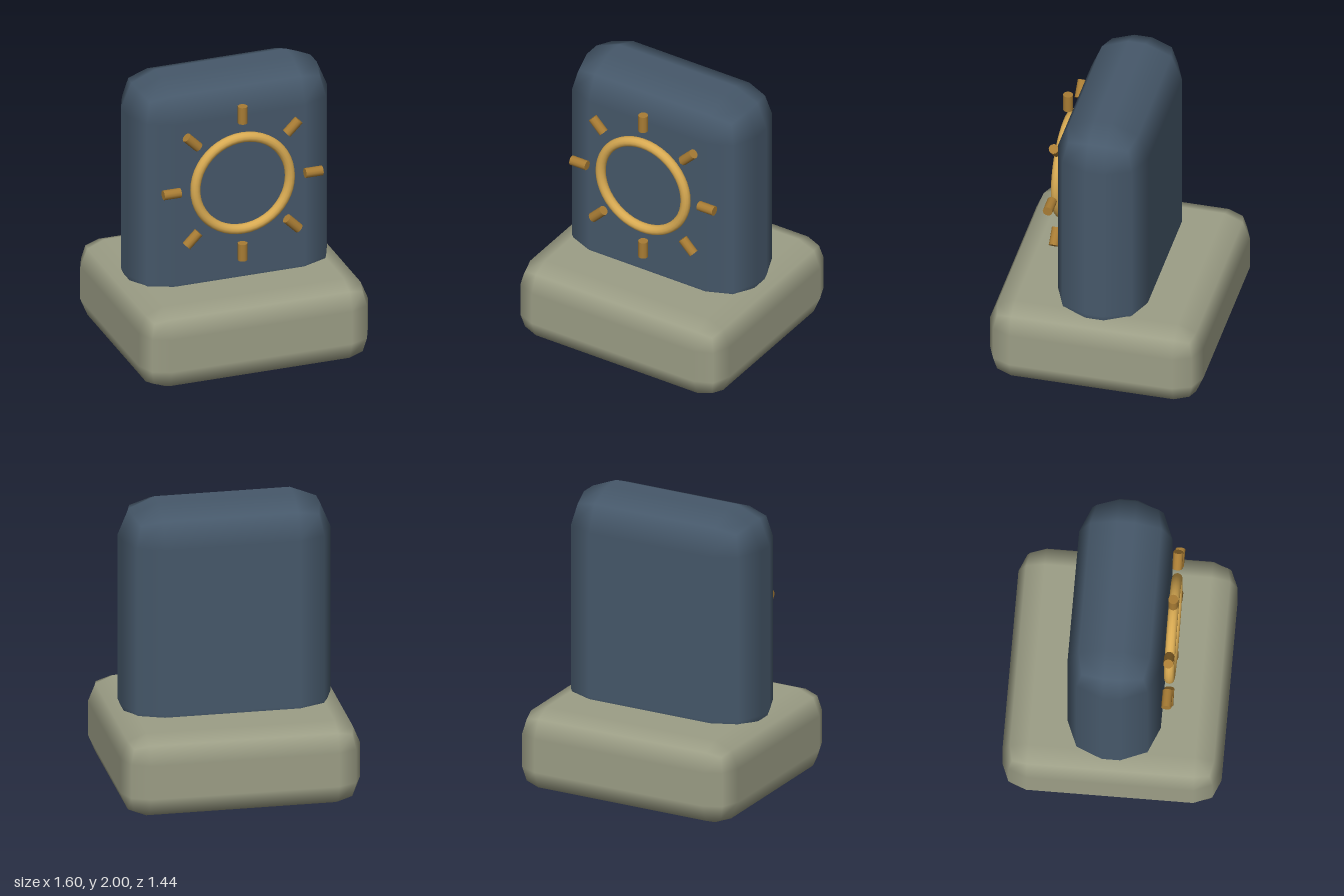
import * as THREE from 'three';
import { RoundedBoxGeometry } from 'three/addons/geometries/RoundedBoxGeometry.js';

const mat = (name, color) => {
  const m = new THREE.MeshStandardMaterial({ color });
  m.name = name;
  return m;
};

export function createModel() {
  const stone = mat('pale stone', 0x9c9e86);
  const slate = mat('slate blue', 0x46586a);
  const gold = mat('bright gold', 0xd8aa52);
  const bronze = mat('bronze', 0xa87c34);

  const model = new THREE.Group();
  const add = (parent, name, geometry, material, x, y, z) => {
    const mesh = new THREE.Mesh(geometry, material);
    mesh.name = name;
    mesh.position.set(x, y, z);
    parent.add(mesh);
    return mesh;
  };

  // Plinth and upright slab, each with a two-step rounded edge
  add(model, 'base', new RoundedBoxGeometry(1.604, 0.578, 1.444, 1, 0.172), stone, 0, 0.289, 0);
  add(model, 'slab', new RoundedBoxGeometry(1.4, 1.65, 0.614, 1, 0.248), slate, 0, 1.175, 0);

  // Sun emblem floating just in front of the slab
  const sun = new THREE.Group();
  sun.name = 'sunEmblem';
  sun.position.set(0, 1.28, 0.351);
  model.add(sun);
  add(sun, 'sunRing', new THREE.TorusGeometry(0.331, 0.034, 12, 48), gold, 0, 0, 0);

  // Eight short rays pointing outwards
  const rayGeometry = new THREE.CylinderGeometry(0.033, 0.033, 0.12, 12);
  for (let i = 0; i < 8; i++) {
    const a = (i * Math.PI) / 4;
    const ray = add(sun, 'sunRay', rayGeometry, bronze, Math.cos(a) * 0.496, Math.sin(a) * 0.496, 0);
    ray.rotation.z = a - Math.PI / 2;
  }

  return model;
}
